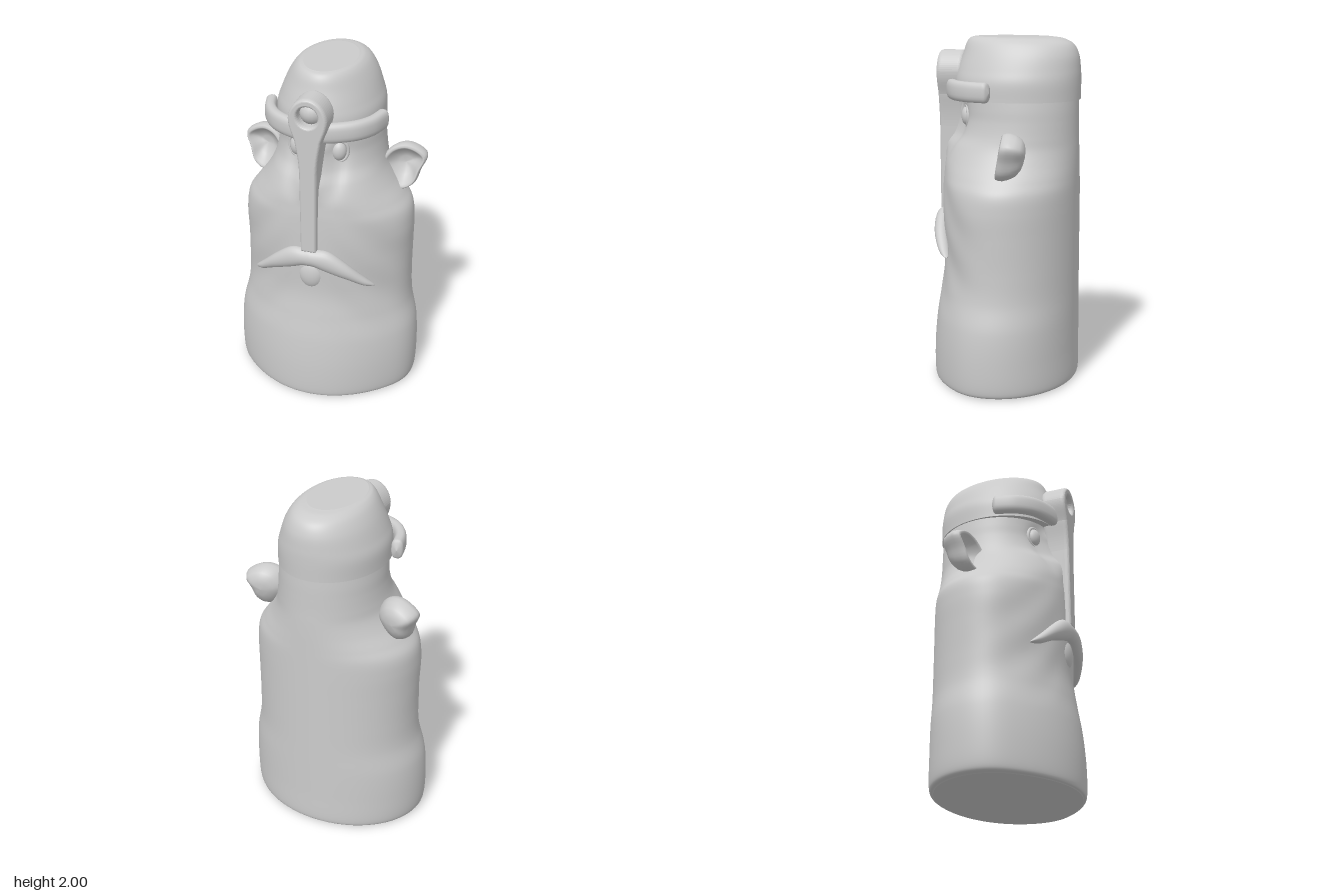
import * as THREE from 'three';

const mat = new THREE.MeshStandardMaterial({ color: 0xcccccc });
const V = (x, y, z) => new THREE.Vector3(x, y, z);

// Skin a stack of equal-length closed rings
function loft(rings) {
  const n = rings[0].length, pos = [], idx = [];
  rings.forEach(r => r.forEach(p => pos.push(p.x, p.y, p.z)));
  for (let i = 0; i < rings.length - 1; i++) {
    for (let j = 0; j < n; j++) {
      const a = i * n + j, b = i * n + (j + 1) % n;
      idx.push(a, b, b + n, a, b + n, a + n);
    }
  }
  const g = new THREE.BufferGeometry();
  g.setAttribute('position', new THREE.Float32BufferAttribute(pos, 3));
  g.setIndex(idx);
  g.computeVertexNormals();
  return g;
}

// Mirror across x, keeping faces outward
function mirrorX(geo) {
  const g = geo.clone().scale(-1, 1, 1), ix = g.index;
  for (let i = 0; i < ix.count; i += 3) {
    const t = ix.getX(i);
    ix.setX(i, ix.getX(i + 1));
    ix.setX(i + 1, t);
  }
  g.computeVertexNormals();
  return g;
}

// Horizontal ellipses from keys [y, halfWidth, frontZ, backZ]; flat caps at both ends
function shell(keys, steps, carve = p => p) {
  const N = 80;
  const wide = new THREE.CatmullRomCurve3(keys.map(k => V(k[1], k[0], 0)), false, 'catmullrom', 0.5);
  const deep = new THREE.CatmullRomCurve3(keys.map(k => V(k[2], k[0], k[3])), false, 'catmullrom', 0.5);
  const ring = (t, s = 1) => {
    const w = wide.getPoint(t), d = deep.getPoint(t);
    const c = (d.x + d.z) / 2, rz = (d.x - d.z) / 2;
    return Array.from({ length: N }, (_, j) => {
      const a = j / N * Math.PI * 2;
      const p = carve(V(w.x * Math.sin(a), w.y, c + rz * Math.cos(a)), Math.cos(a));
      return V(p.x * s, p.y, c + (p.z - c) * s);
    });
  };
  const rings = [ring(0, 0), ring(0)];
  for (let i = 0; i <= steps; i++) rings.push(ring(i / steps));
  rings.push(ring(1), ring(1, 0));
  return loft(rings);
}

// Sweep an upright rounded section along a left-to-right curve; size(u) = [halfHeight, halfDepth]
function sweep(points, size, power, steps) {
  const curve = new THREE.CatmullRomCurve3(points), N = 24, rings = [];
  const soft = v => Math.sign(v) * Math.abs(v) ** power;
  for (let i = 0; i <= steps; i++) {
    const u = i / steps, c = curve.getPoint(u), t = curve.getTangent(u);
    const l = Math.hypot(t.x, t.z), [h, d] = size(u);
    rings.push(Array.from({ length: N }, (_, j) => {
      const a = j / N * Math.PI * 2, n = d * soft(Math.sin(a));
      return V(c.x - t.z / l * n, c.y + h * soft(Math.cos(a)), c.z + t.x / l * n);
    }));
  }
  return loft(rings);
}

// Pinched front corners, shallow diagonal beard folds, nose ridge and cheek hollows
function carveFace(p, front) {
  const x = Math.abs(p.x), ss = THREE.MathUtils.smoothstep;
  const f = ss(front, -0.1, 0.6);
  const pinch = 0.16 * f * front ** 2 * (1 - front ** 2) * (1 - ss(p.y, 1.1, 1.4));
  const folds = ss(p.y, 0.35, 0.7) * (1 - ss(p.y, 1.15, 1.35)) * ss(x, 0.08, 0.22) * f;
  const wave = 0.007 * Math.sin((p.y + 1.15 * x) * Math.PI * 2 / 0.3) * folds - pinch;
  const nose = ss(p.y, 1.25, 1.42) * (1 - ss(p.y, 1.56, 1.66)) * f;
  const bump = nose * (0.05 * Math.exp(-((x / 0.07) ** 2)) - 0.015 * Math.exp(-(((x - 0.13) / 0.04) ** 2)));
  return V(p.x * (1 + wave), p.y, p.z * (1 + wave) + bump);
}

export function createModel() {
  const model = new THREE.Group();
  const add = (name, geo, x = 0, y = 0, z = 0) => {
    const m = new THREE.Mesh(geo, mat);
    m.name = name;
    m.position.set(x, y, z);
    model.add(m);
    return m;
  };

  // Beard, shoulders and head in one column
  add('body', shell([
    [0, 0.50, 0.405, -0.40], [0.03, 0.54, 0.425, -0.42], [0.2, 0.55, 0.425, -0.42],
    [0.38, 0.54, 0.41, -0.42], [0.54, 0.505, 0.385, -0.42], [0.7, 0.495, 0.365, -0.42],
    [0.9, 0.497, 0.37, -0.42], [1.05, 0.498, 0.37, -0.42], [1.15, 0.485, 0.368, -0.42],
    [1.22, 0.44, 0.365, -0.42], [1.3, 0.38, 0.355, -0.42], [1.38, 0.335, 0.325, -0.419],
    [1.45, 0.315, 0.275, -0.417], [1.53, 0.303, 0.25, -0.416], [1.6, 0.298, 0.25, -0.415],
    [1.68, 0.29, 0.26, -0.412],
  ], 150, carveFace));

  // Helmet with a flat crown
  add('helmet', shell([
    [1.65, 0.303, 0.30, -0.425], [1.75, 0.3, 0.30, -0.427], [1.82, 0.278, 0.285, -0.425],
    [1.9, 0.245, 0.257, -0.415], [1.96, 0.208, 0.238, -0.385], [1.99, 0.175, 0.217, -0.33],
    [2, 0.145, 0.19, -0.27],
  ], 48));

  // Brow band wrapping to the temples
  add('helmetBand', sweep(
    [V(-0.33, 1.705, 0.02), V(-0.285, 1.705, 0.16), V(-0.2, 1.705, 0.255), V(0, 1.7, 0.32),
      V(0.2, 1.705, 0.255), V(0.285, 1.705, 0.16), V(0.33, 1.705, 0.02)],
    u => {
      const e = Math.min(1, Math.min(u, 1 - u) / 0.03), cap = Math.sqrt(e * (2 - e));
      return [0.057 * cap, 0.034 * cap];
    }, 0.75, 100));

  // Nose guard with a round, dished boss
  const guard = new THREE.Shape();
  guard.moveTo(-0.032, 1.0);
  guard.lineTo(0.032, 1.0);
  guard.lineTo(0.036, 1.48);
  guard.bezierCurveTo(0.04, 1.58, 0.055, 1.63, 0.06, 1.67);
  guard.bezierCurveTo(0.075, 1.72, 0.095, 1.75, 0.095, 1.8);
  guard.bezierCurveTo(0.09, 1.86, 0.045, 1.905, 0, 1.905);
  guard.bezierCurveTo(-0.045, 1.905, -0.09, 1.86, -0.095, 1.8);
  guard.bezierCurveTo(-0.095, 1.75, -0.075, 1.72, -0.06, 1.67);
  guard.bezierCurveTo(-0.055, 1.63, -0.04, 1.58, -0.036, 1.48);
  const dish = new THREE.Path();
  dish.absellipse(0, 1.815, 0.072, 0.073, 0, Math.PI * 2, true);
  guard.holes.push(dish);
  add('noseGuard', new THREE.ExtrudeGeometry(guard, {
    depth: 0.1, bevelSize: 0.015, bevelThickness: 0.025, bevelSegments: 5, curveSegments: 16,
  }), 0, 0, 0.272);
  add('noseGuardDish', new THREE.SphereGeometry(1, 24, 16).scale(0.082, 0.084, 0.1), 0, 1.815, 0.268);

  // Moustache tapering to drooping tips
  const side = [[0.36, 0.765, 0.265], [0.3, 0.802, 0.3], [0.2, 0.878, 0.345], [0.1, 0.93, 0.365]];
  const flip = ([x, y, z]) => V(-x, y, z);
  const path = [...side.map(flip), V(0, 0.945, 0.37), ...side.slice().reverse().map(p => V(...p))];
  add('moustache', sweep(path, u => {
    const x = Math.abs(2 * u - 1);
    const h = 0.078 * Math.pow(1 - x, 0.75) * (1.25 - 0.3 * x) - 0.042 * Math.exp(-((x / 0.2) ** 2));
    return [Math.max(0, h), 0.045 * Math.sqrt(1 - x * x)];
  }, 1, 64));
  add('lip', new THREE.SphereGeometry(1, 24, 16).scale(0.075, 0.095, 0.045), 0, 0.82, 0.338);

  // Cupped ear: one outline scaled through back, rim and hollow, with the rim leaning back and out
  const outline = new THREE.CatmullRomCurve3([
    [0.545, 1.43], [0.5, 1.475], [0.42, 1.5], [0.34, 1.47], [0.29, 1.38],
    [0.34, 1.28], [0.42, 1.235], [0.485, 1.27], [0.515, 1.35],
  ].map(([x, y]) => V(x, y, 0)), true).getPoints(40).slice(0, 40);
  const ear = loft([
    [0, -0.205], [0.3, -0.202], [0.55, -0.192], [0.78, -0.17], [0.93, -0.135], [1, -0.1], [0.99, -0.08],
    [0.95, -0.062], [0.88, -0.055], [0.8, -0.065], [0.7, -0.085], [0.5, -0.11], [0.3, -0.125], [0, -0.13],
  ].map(([s, z]) => outline.map(p => {
    const dx = (p.x - 0.42) * s, dy = (p.y - 1.37) * s;
    return V(0.42 + dx, 1.37 + dy, z - 0.2 * dx - 0.18 * dy);
  })));
  add('leftEar', ear);
  add('rightEar', mirrorX(ear));

  // Eyes set in soft lids
  for (const [name, s] of [['left', 1], ['right', -1]]) {
    const eye = add(name + 'Eye', new THREE.SphereGeometry(1, 24, 16).scale(0.042, 0.056, 0.035), s * 0.122, 1.553, 0.205);
    const lid = add(name + 'Eyelid', new THREE.TorusGeometry(0.047, 0.01, 10, 32).scale(1, 1.28, 1.4), s * 0.124, 1.553, 0.203);
    eye.rotation.y = lid.rotation.y = s * 0.4;
  }

  return model;
}
